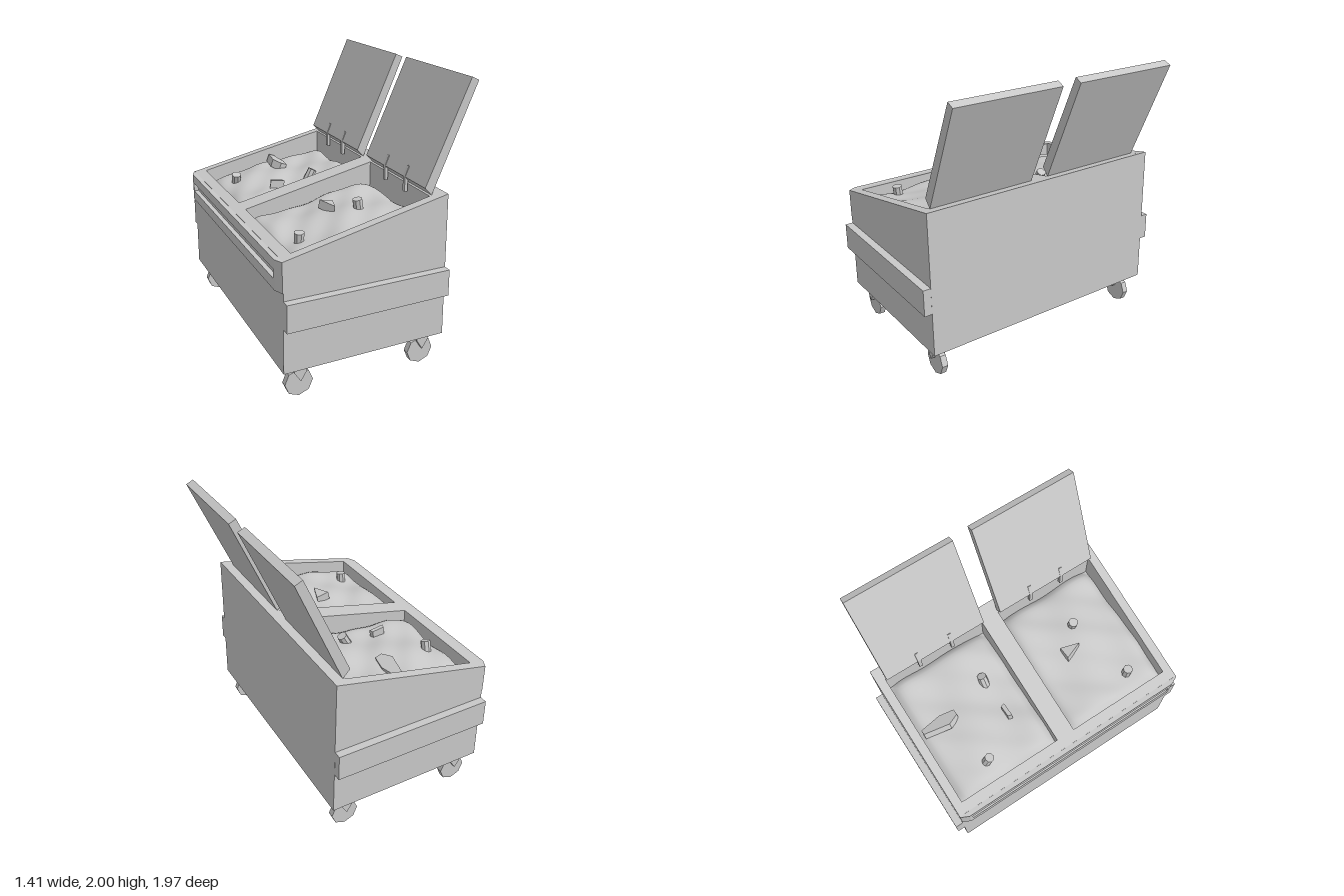
import * as THREE from 'three';

export function createModel() {
  const model = new THREE.Group();
  const grey = new THREE.MeshStandardMaterial({ color: 0xc8c8c8 });
  grey.name = 'plain grey';

  function add(name, geometry, parent = model) {
    const mesh = new THREE.Mesh(geometry, grey);
    mesh.name = name;
    parent.add(mesh);
    return mesh;
  }
  const outline = (pts) => new THREE.Shape(pts.map(([a, b]) => new THREE.Vector2(a, b)));
  // side profile (x, y) swept from z0 to z1
  function prism(name, pts, z0, z1, parent) {
    const g = new THREE.ExtrudeGeometry(outline(pts), { depth: z1 - z0, bevelEnabled: false });
    return add(name, g.translate(0, 0, z0), parent);
  }
  // plan outline (x, z) swept from y0 to y1
  function slab(name, pts, y0, y1, parent) {
    const flipped = pts.map(([x, z]) => [x, -z]);
    const g = new THREE.ExtrudeGeometry(outline(flipped), { depth: y1 - y0, bevelEnabled: false });
    return add(name, g.rotateX(-Math.PI / 2).translate(0, y0, 0), parent);
  }
  const rim = (x) => 1.02 + (x + 0.675) * 0.2165;

  // body: end walls, long walls, divider and floor
  const body = new THREE.Group();
  body.name = 'body';
  model.add(body);
  const full = [[-0.685, 0.24], [0.5, 0.24], [0.478, 1.27], [-0.675, 1.02]];
  prism('endWall', full, -0.93, -0.865, body);
  prism('endWall', full, 0.865, 0.93, body);
  prism('lowWall', [[-0.685, 0.24], [-0.6, 0.24], [-0.6, rim(-0.6)], [-0.675, 1.02]], -0.865, 0.865, body);
  prism('highWall', [[0.38, 0.24], [0.5, 0.24], [0.478, 1.27], [0.38, rim(0.38)]], -0.865, 0.865, body);
  prism('divider', [[-0.6, 0.3], [0.38, 0.3], [0.38, rim(0.38)], [-0.6, rim(-0.6)]], -0.07, 0.07, body);
  prism('floor', [[-0.6, 0.24], [0.38, 0.24], [0.38, 0.3], [-0.6, 0.3]], -0.865, 0.865, body);

  // lifting sleeves on both ends
  for (const s of [-1, 1]) {
    const a = s * 0.93, b = s * 0.985;
    prism('liftingSleeve', [[-0.68, 0.56], [0.492, 0.56], [0.488, 0.75], [-0.678, 0.755]],
      Math.min(a, b), Math.max(a, b));
  }

  // slotted grab rail with chamfered corners
  const rail = new THREE.Group();
  rail.name = 'grabRail';
  model.add(rail);
  const railPlan = [[-0.674, -0.93], [-0.682, -0.93], [-0.71, -0.87], [-0.71, 0.87], [-0.682, 0.93], [-0.674, 0.93]];
  slab('railBottom', railPlan, 0.81, 0.885, rail);
  slab('railTop', railPlan, 0.95, 1.018, rail);
  for (const s of [-1, 1]) {
    slab('railEnd', [[-0.674, s * 0.93], [-0.682, s * 0.93], [-0.71, s * 0.87], [-0.71, s * 0.85], [-0.674, s * 0.85]],
      0.885, 0.95, rail);
  }

  // open lids with small hinge tabs
  const lid = [[0.345, 1.305], [0.397, 1.25], [0.705, 1.975], [0.652, 2]];
  const tab = [[0.345, 1.2], [0.368, 1.2], [0.368, 1.3], [0.385, 1.375], [0.372, 1.38], [0.345, 1.31]];
  for (const s of [-1, 1]) {
    prism('lid', lid, s > 0 ? 0.07 : -0.86, s > 0 ? 0.86 : -0.07);
    for (const z of [0.335, 0.6]) prism('hingeTab', tab, s * z - 0.013, s * z + 0.013);
  }

  // lumpy rubbish that sinks along the edges
  const heap = (x, z) => {
    const u = Math.min(x + 0.6, 0.38 - x), w = Math.min(Math.abs(z) - 0.07, 0.865 - Math.abs(z));
    const edge = Math.exp(-Math.max(u, 0) / 0.035) + Math.exp(-Math.max(w, 0) / 0.035);
    const lumps = 0.012 * Math.sin(9 * x + 4 * z) + 0.01 * Math.sin(13 * z - 5 * x + 1) + 0.005 * Math.sin(23 * x + 17 * z);
    return 1.075 + 0.13 * x + lumps - 0.06 * Math.min(edge, 1.3);
  };
  for (const s of [-1, 1]) {
    const g = new THREE.PlaneGeometry(0.98, 0.795, 36, 30);
    g.rotateX(-Math.PI / 2).translate(-0.11, 0, s * 0.4675);
    const p = g.attributes.position;
    for (let i = 0; i < p.count; i++) p.setY(i, heap(p.getX(i), p.getZ(i)));
    g.computeVertexNormals();
    add('rubbishHeap', g);
  }

  // cans
  for (const [x, z, tx, tz] of [[-0.45, -0.56, 0.35, 0.05], [0.045, -0.275, 0, -0.5], [-0.45, 0.65, 0.1, 0], [0.05, 0.505, 0, 0.15]]) {
    const can = add('can', new THREE.CylinderGeometry(0.035, 0.035, 0.1, 8).toNonIndexed());
    can.geometry.computeVertexNormals();
    can.position.set(x, heap(x, z) + 0.015, z);
    can.rotation.set(tx, 0, tz);
  }
  // loose scraps lying on the heap
  function scrap(name, pts, lift, tilt) {
    const cx = pts.reduce((t, p) => t + p[0], 0) / pts.length;
    const cz = pts.reduce((t, p) => t + p[1], 0) / pts.length;
    const m = slab(name, pts.map(([x, z]) => [x - cx, z - cz]), -0.03, 0.03);
    m.position.set(cx, heap(cx, cz) + lift, cz);
    m.rotation.z = tilt;
  }
  scrap('brokenBoard', [[-0.08, -0.84], [-0.04, -0.84], [-0.01, -0.68], [-0.03, -0.57], [-0.08, -0.57], [-0.12, -0.65]], 0.02, -0.35);
  scrap('smallBlock', [[-0.28, -0.275], [-0.19, -0.275], [-0.18, -0.245], [-0.29, -0.245]], 0.025, -0.15);
  scrap('wedge', [[-0.16, 0.325], [-0.06, 0.325], [-0.105, 0.46]], 0.02, -0.2);

  // casters: octagonal wheel between two tapered fork plates
  for (const x of [-0.55, 0.37]) for (const s of [-1, 1]) {
    const caster = new THREE.Group();
    caster.name = 'caster';
    caster.position.set(x, 0, s * 0.835);
    model.add(caster);
    const wheel = new THREE.CylinderGeometry(0.1, 0.1, 0.044, 8).toNonIndexed();
    wheel.rotateX(Math.PI / 2).translate(0, 0.1, 0);
    wheel.computeVertexNormals();
    add('wheel', wheel, caster);
    const fork = [[-0.043, 0.24], [-0.043, 0.195], [0, 0.125], [0.043, 0.195], [0.043, 0.24]];
    prism('forkPlate', fork, -0.054, -0.024, caster);
    prism('forkPlate', fork, 0.024, 0.054, caster);
    prism('forkTop', [[-0.043, 0.2], [0.043, 0.2], [0.043, 0.24], [-0.043, 0.24]], -0.024, 0.024, caster);
  }
  return model;
}
